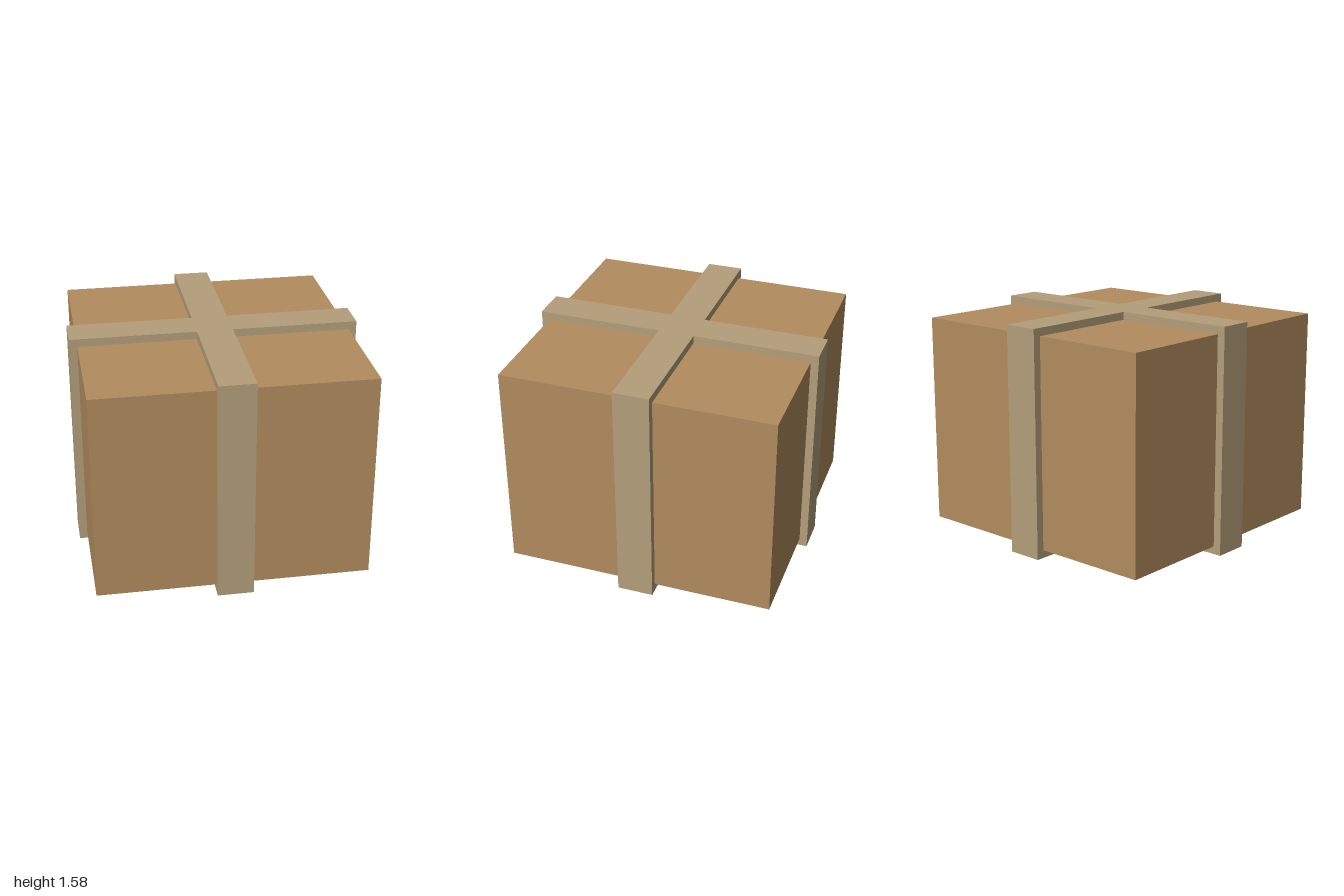
import * as THREE from 'three';

const HEIGHT = 1.58, HALF = 1, STRAP = 0.125, INSET = 0.055;

export function createModel() {
  const model = new THREE.Group();
  model.name = 'strappedCrate';

  // Cardboard body, slightly smaller than the straps on every side
  const side = 2 * (HALF - INSET);
  const body = new THREE.Mesh(
    new THREE.BoxGeometry(side, HEIGHT - 2 * INSET, side),
    new THREE.MeshStandardMaterial({ color: 0xb28c5e })
  );
  body.name = 'boxBody';
  body.position.y = HEIGHT / 2;
  model.add(body);

  // Two straps crossing at top and bottom: a plus-shaped plan raised to full height
  const corners = [];
  for (let i = 0; i < 4; i++) {
    for (const [x, y] of [[HALF, -STRAP], [HALF, STRAP], [STRAP, STRAP]]) {
      corners.push(new THREE.Vector2(x, y).rotateAround(new THREE.Vector2(), i * Math.PI / 2));
    }
  }
  const strapGeometry = new THREE.ExtrudeGeometry(new THREE.Shape(corners), {
    depth: HEIGHT, bevelEnabled: false
  });
  strapGeometry.rotateX(-Math.PI / 2);
  const straps = new THREE.Mesh(strapGeometry, new THREE.MeshStandardMaterial({ color: 0xb49f7b }));
  straps.name = 'crossedStraps';
  model.add(straps);

  return model;
}
